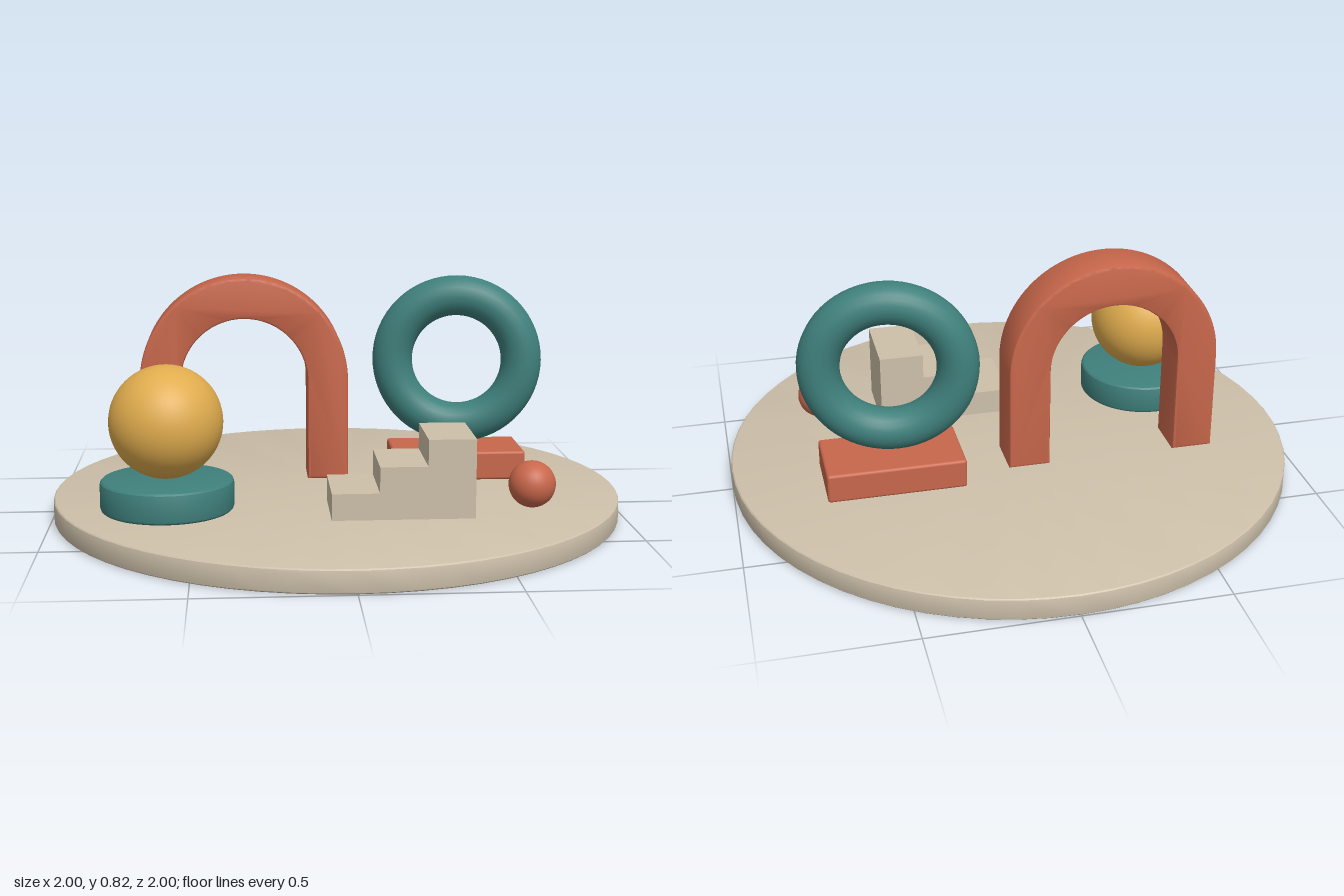
import * as THREE from 'three';
import { toCreasedNormals } from 'three/addons/utils/BufferGeometryUtils.js';
import { RoundedBoxGeometry } from 'three/addons/geometries/RoundedBoxGeometry.js';

const material = (name, color) => Object.assign(new THREE.MeshStandardMaterial({ color }), { name });

// Disc standing on y = 0 with softly rounded rims
function roundedDisc(radius, height, bevel, segments) {
  const points = [new THREE.Vector2(0, 0)];
  for (const [cy, start] of [[bevel, -Math.PI / 2], [height - bevel, 0]]) {
    for (let i = 0; i <= 3; i++) {
      const a = start + (i / 3) * Math.PI / 2;
      points.push(new THREE.Vector2(radius - bevel + Math.cos(a) * bevel, cy + Math.sin(a) * bevel));
    }
  }
  points.push(new THREE.Vector2(0, height));
  return toCreasedNormals(new THREE.LatheGeometry(points, segments), 0.4);
}

// Extrusion centred on z = 0
function extrude(shape, depth, bevel) {
  const geometry = new THREE.ExtrudeGeometry(shape, {
    depth: depth - 2 * bevel, curveSegments: 32, bevelEnabled: bevel > 0,
    bevelThickness: bevel, bevelSize: bevel, bevelOffset: -bevel, bevelSegments: 2,
  });
  geometry.translate(0, 0, -depth / 2 + bevel);
  return toCreasedNormals(geometry, 0.4);
}

export function createModel() {
  const sand = material('sand', 0xcdc0aa);
  const terracotta = material('terracotta', 0xc8674b);
  const teal = material('teal', 0x3f807c);
  const ochre = material('ochre', 0xe0ac4e);

  const group = new THREE.Group();
  const add = (name, geometry, mat, x, y, z) => {
    const mesh = new THREE.Mesh(geometry, mat);
    mesh.name = name;
    mesh.position.set(x, y, z);
    group.add(mesh);
    return mesh;
  };
  const floor = 0.08;

  // Round base
  add('base', roundedDisc(1, floor, 0.01, 64), sand, 0, 0, 0);

  // Arch, drawn around the centre of its curve
  const outer = 0.373, inner = 0.227, leg = -0.36;
  const arch = new THREE.Shape();
  arch.moveTo(outer, leg);
  arch.lineTo(outer, 0);
  arch.absarc(0, 0, outer, 0, Math.PI, false);
  arch.lineTo(-outer, leg);
  arch.lineTo(-inner, leg);
  arch.lineTo(-inner, 0);
  arch.absarc(0, 0, inner, Math.PI, 0, true);
  arch.lineTo(inner, leg);
  arch.closePath();
  add('arch', extrude(arch, 0.172, 0.01), terracotta, -0.325, 0.45, -0.149);

  // Ball on a round plinth
  add('roundPlinth', roundedDisc(0.226, 0.107, 0.015, 48), teal, -0.59, floor, 0.28);
  add('largeBall', new THREE.SphereGeometry(0.192, 48, 32), ochre, -0.59, 0.381, 0.28);

  // Upright ring on a block
  add('ringBlock', new RoundedBoxGeometry(0.481, 0.105, 0.262, 2, 0.01), terracotta, 0.454, 0.133, -0.174);
  const ring = add('ring', new THREE.TorusGeometry(0.236, 0.073, 24, 64), teal, 0.454, 0.508, -0.171);
  ring.rotation.y = -0.165;

  // Three steps rising to the left
  const stepWidth = 0.159, heights = [0.09, 0.178, 0.268];
  const steps = new THREE.Shape();
  steps.moveTo(0, 0);
  heights.forEach((h, i) => {
    steps.lineTo(i * stepWidth, h);
    steps.lineTo((i + 1) * stepWidth, h);
  });
  steps.lineTo(3 * stepWidth, 0);
  steps.closePath();
  add('steps', extrude(steps, 0.272, 0), sand, -0.045, floor, 0.337);

  // Small ball
  add('smallBall', new THREE.SphereGeometry(0.08, 32, 24), terracotta, 0.645, 0.16, 0.337);

  return group;
}
